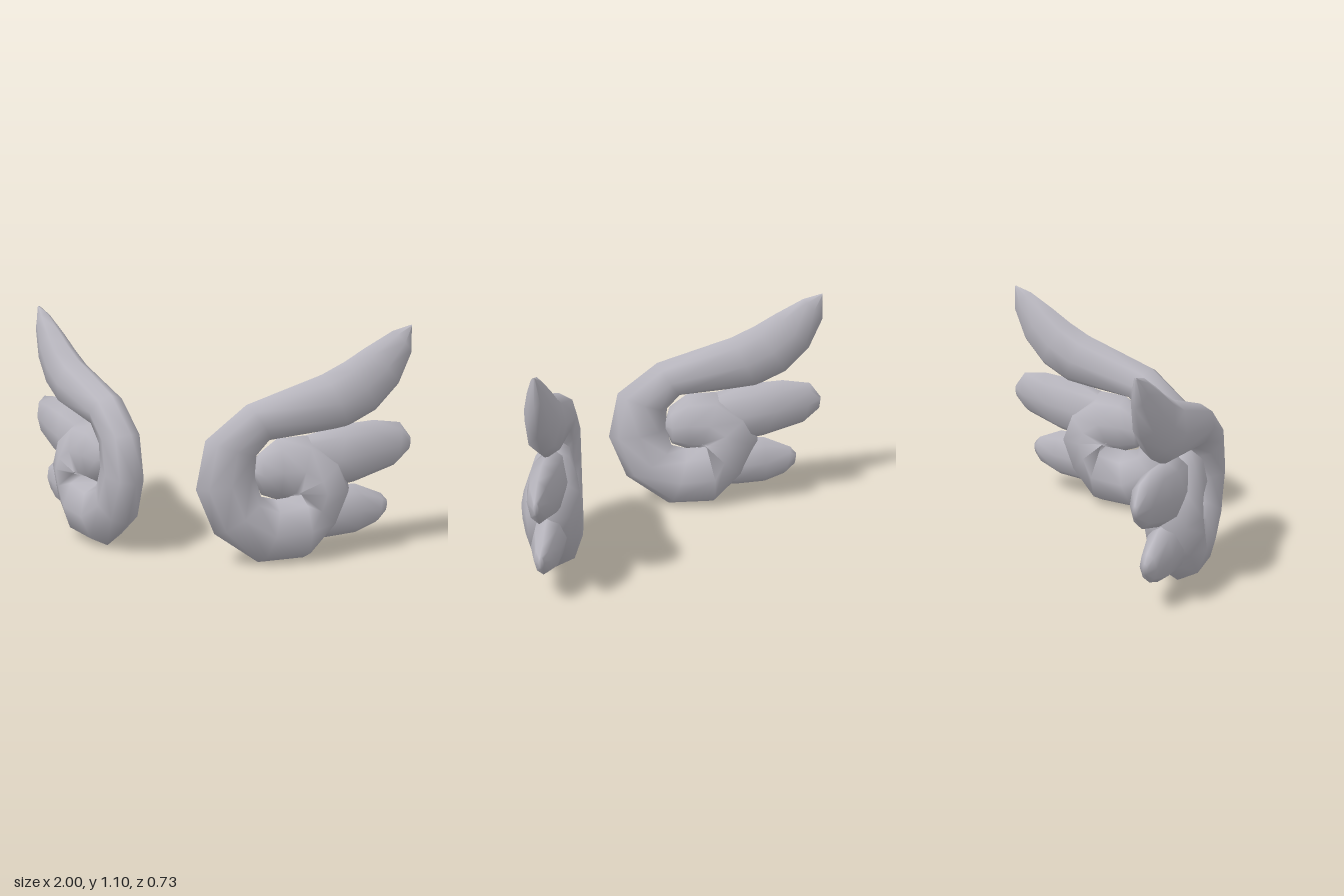
import * as THREE from 'three';

const SIDES = 8;

// Each station: outer x, outer y, inner x, inner y, half thickness
const curl = [
  [0.985, 1.10, 0.985, 1.09, 0.008],
  [0.91, 1.075, 0.99, 0.97, 0.035],
  [0.80, 1.00, 0.94, 0.82, 0.065],
  [0.72, 0.94, 0.85, 0.70, 0.08],
  [0.63, 0.885, 0.73, 0.625, 0.085],
  [0.34, 0.765, 0.43, 0.59, 0.09],
  [0.185, 0.61, 0.38, 0.52, 0.09],
  [0.15, 0.38, 0.375, 0.42, 0.09],
  [0.22, 0.16, 0.40, 0.32, 0.10],
  [0.39, 0.00, 0.46, 0.30, 0.12],
  [0.57, 0.00, 0.55, 0.33, 0.135],
  [0.69, 0.15, 0.50, 0.37, 0.14],
  [0.75, 0.33, 0.48, 0.35, 0.14],
  [0.70, 0.49, 0.50, 0.31, 0.13],
  [0.58, 0.60, 0.50, 0.30, 0.11],
  [0.46, 0.595, 0.46, 0.30, 0.09],
  [0.39, 0.53, 0.40, 0.33, 0.06],
  [0.375, 0.45, 0.375, 0.41, 0.015],
];
const middleFeather = [
  [0.995, 0.555, 0.99, 0.49, 0.012],
  [0.95, 0.63, 0.93, 0.42, 0.05],
  [0.84, 0.65, 0.77, 0.355, 0.075],
  [0.72, 0.64, 0.65, 0.33, 0.085],
  [0.50, 0.58, 0.50, 0.36, 0.06],
];
const lowerFeather = [
  [0.905, 0.25, 0.90, 0.19, 0.012],
  [0.88, 0.285, 0.86, 0.14, 0.04],
  [0.77, 0.345, 0.78, 0.10, 0.07],
  [0.66, 0.34, 0.66, 0.09, 0.08],
  [0.50, 0.28, 0.52, 0.12, 0.05],
];

// Lofts elliptical rings in the swept-back plane of a wing
function loft(stations, side) {
  const pos = [], idx = [];
  const add = (x, y, w) =>
    pos.push(side * (x + 0.64 * w), y, 0.3 - 0.83 * (x - 0.2) + 0.77 * w);
  const tri = (a, b, c) => (side > 0 ? idx.push(a, c, b) : idx.push(a, b, c));
  for (const [ox, oy, ix, iy, t] of stations) {
    for (let j = 0; j < SIDES; j++) {
      const a = (j / SIDES) * Math.PI * 2, k = Math.cos(a) / 2;
      add((ox + ix) / 2 + (ox - ix) * k, (oy + iy) / 2 + (oy - iy) * k, t * Math.sin(a));
    }
  }
  const n = stations.length;
  for (let i = 0; i < n - 1; i++) {
    for (let j = 0; j < SIDES; j++) {
      const a = i * SIDES + j, b = i * SIDES + (j + 1) % SIDES;
      tri(a, b, a + SIDES);
      tri(b, b + SIDES, a + SIDES);
    }
  }
  // End caps
  const last = (n - 1) * SIDES;
  for (let j = 1; j < SIDES - 1; j++) {
    tri(0, j + 1, j);
    tri(last, last + j, last + j + 1);
  }
  const g = new THREE.BufferGeometry();
  g.setAttribute('position', new THREE.Float32BufferAttribute(pos, 3));
  g.setIndex(idx);
  g.computeVertexNormals();
  return g;
}

export function createModel() {
  const model = new THREE.Group();
  model.name = 'wings';
  const paleGrey = new THREE.MeshStandardMaterial({ color: 0xb9b7bf });
  paleGrey.name = 'paleGrey';

  const parts = { curledFeather: curl, middleFeather, lowerFeather };
  for (const side of [1, -1]) {
    const wing = new THREE.Group();
    wing.name = side > 0 ? 'leftWing' : 'rightWing';
    for (const [name, stations] of Object.entries(parts)) {
      const mesh = new THREE.Mesh(loft(stations, side), paleGrey);
      mesh.name = name;
      wing.add(mesh);
    }
    model.add(wing);
  }
  return model;
}
